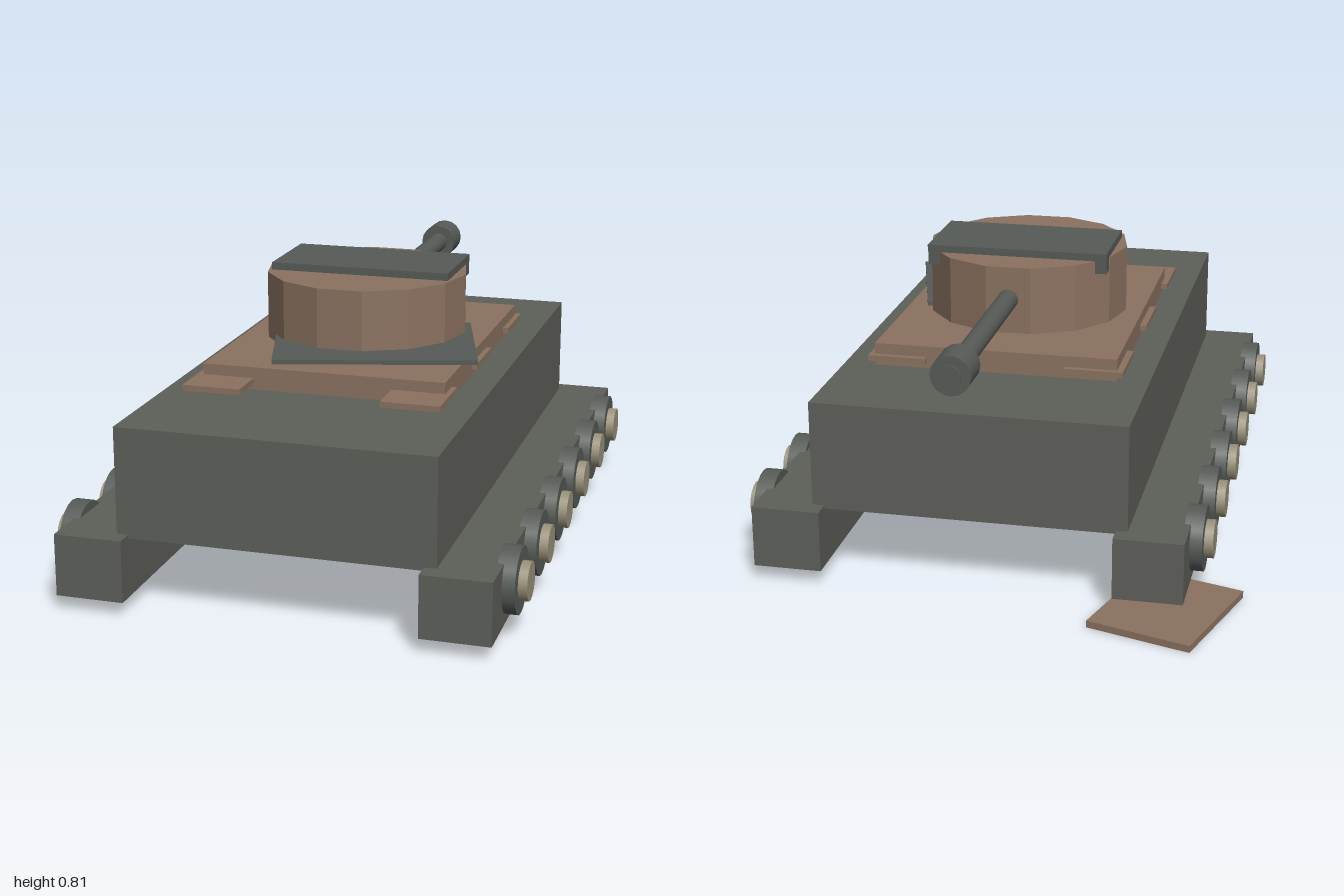
import * as THREE from 'three';

const paint = (name, color) => {
  const m = new THREE.MeshStandardMaterial({ color });
  m.name = name;
  return m;
};

export function createModel() {
  const model = new THREE.Group();
  model.name = 'tank';
  const grey = paint('hull grey', 0x5d5f59);
  const gunGrey = paint('gun grey', 0x565b57);
  const brown = paint('earth brown', 0x8b7260);
  const khaki = paint('hub khaki', 0x99917a);

  const add = (name, geometry, material, parent = model) => {
    const mesh = new THREE.Mesh(geometry, material);
    mesh.name = name;
    parent.add(mesh);
    return mesh;
  };
  // Box given by its extents on each axis
  const box = (name, material, [x0, x1], [y0, y1], [z0, z1]) => {
    const mesh = add(name, new THREE.BoxGeometry(x1 - x0, y1 - y0, z1 - z0), material);
    mesh.position.set((x0 + x1) / 2, (y0 + y1) / 2, (z0 + z1) / 2);
    return mesh;
  };
  const cx = 0.043; // centre line of the vehicle

  // Hull and the raised deck under the turret
  box('hull', grey, [-0.403, 0.491], [0.21, 0.524], [-0.762, 0.947]);
  box('deck', brown, [-0.311, 0.4], [0.524, 0.589], [-0.42, 0.509]);

  // Tracks, wheels and deck side plates, mirrored about the centre line
  for (const side of [-1, 1]) {
    const span = (a, b) => [cx + side * a, cx + side * b].sort((p, q) => p - q);
    box('track', grey, span(0.413, 0.608), [0.042, 0.22], [-0.817, 1]);

    for (let i = 0; i < 6; i++) {
      const wheel = new THREE.Group();
      wheel.name = 'wheel';
      wheel.position.set(cx + side * 0.608, 0.154, 0.802 - i * 0.2838);
      wheel.rotation.z = -side * Math.PI / 2;
      const disc = add('wheelDisc', new THREE.CylinderGeometry(0.093, 0.093, 0.052, 20), gunGrey, wheel);
      disc.position.y = 0.009;
      const hub = add('wheelHub', new THREE.CylinderGeometry(0.054, 0.054, 0.05, 16), khaki, wheel);
      hub.position.y = 0.035;
      model.add(wheel);
    }
    for (const z of [0.531, 0.092, -0.341]) {
      box('deckSidePlate', brown, span(0.203, 0.373), [0.54, 0.557], [z - 0.097, z + 0.097]);
    }
    // Small lugs hanging from the roof plate
    box('roofLug', gunGrey, span(0.23, 0.27), [0.75, 0.8], [-0.132, -0.084]);
  }

  // Faceted turret with its roof plate
  const turretGeometry = new THREE.CylinderGeometry(0.302, 0.302, 0.201, 14).toNonIndexed();
  turretGeometry.computeVertexNormals();
  const turret = add('turret', turretGeometry, brown);
  turret.position.set(cx, 0.6885, 0.045);
  turret.rotation.y = Math.PI / 2;
  box('roofPlate', gunGrey, [-0.227, 0.314], [0.789, 0.811], [-0.136, 0.143]);

  // Skewed plate at the foot of the turret
  const skirt = add('turretPlate', new THREE.BoxGeometry(0.585, 0.013, 0.432), gunGrey);
  skirt.position.set(0.113, 0.606, 0.214);
  skirt.rotation.y = 0.28;

  // Gun pointing to the rear
  const rod = (name, r, z0, z1) => {
    const mesh = add(name, new THREE.CylinderGeometry(r, r, z1 - z0, 16), gunGrey);
    mesh.position.set(cx, 0.692, (z0 + z1) / 2);
    mesh.rotation.x = -Math.PI / 2;
  };
  rod('gunBarrel', 0.03, -0.932, -0.2);
  rod('muzzleBrake', 0.056, -0.926, -0.824);

  // Loose plate lying on the ground
  const loose = add('loosePlate', new THREE.BoxGeometry(0.302, 0.02, 0.364), brown);
  loose.position.set(-0.515, 0.01, -0.784);
  loose.rotation.y = -0.288;

  return model;
}
